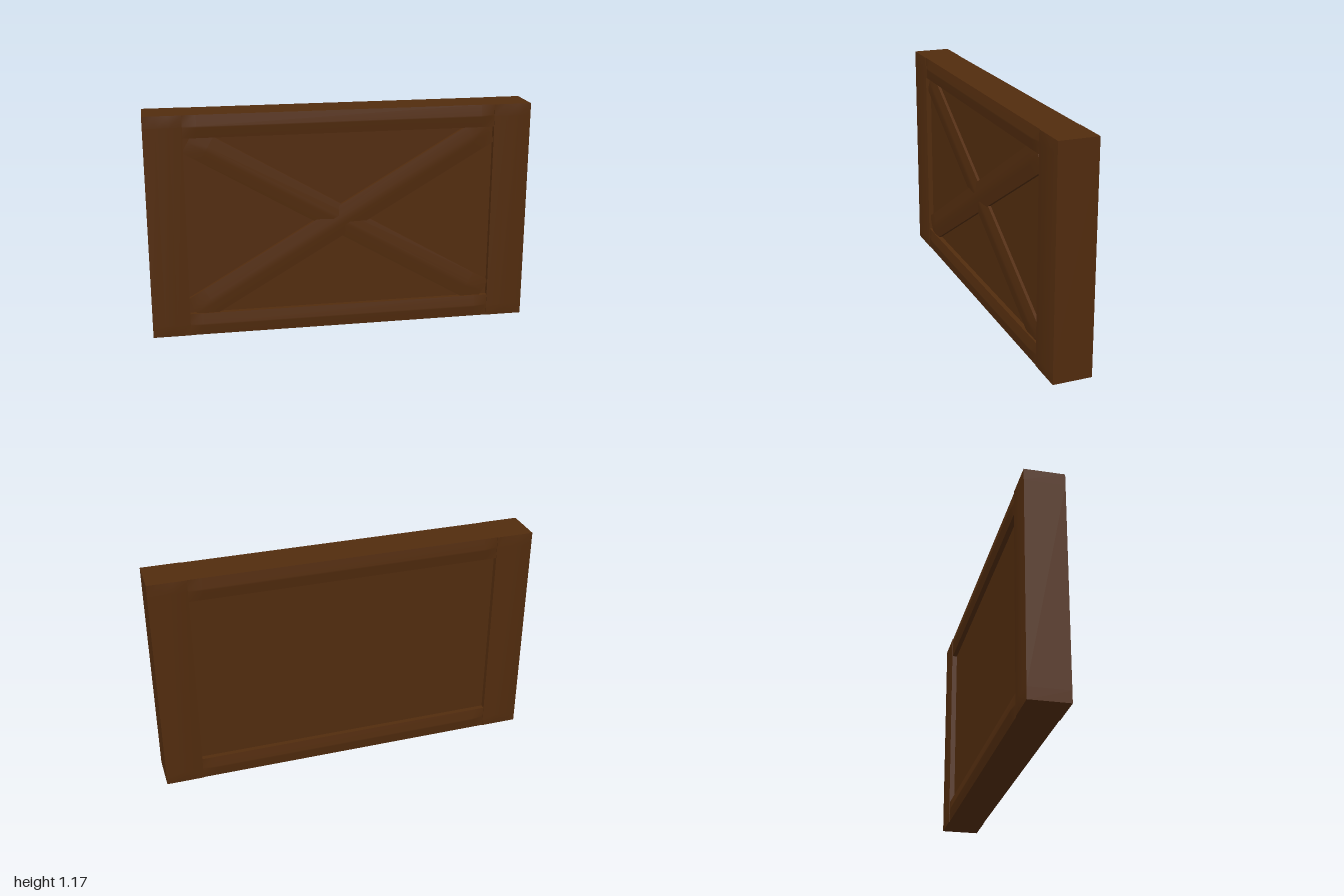
import * as THREE from 'three';

const HEIGHT = 1.175;

// Board whose front and back swell gently: the rim sits at depth/2, the middle is raised by bulge.
function boardGeometry(length, width, depth, bulge, insetX, insetY) {
  const geo = new THREE.BoxGeometry(length, width, depth, 3, 3, 1);
  const p = geo.attributes.position;
  const remap = (v, size, inset) =>
    Math.abs(v) > size * 0.4 ? v : Math.sign(v) * (size / 2 - inset);
  for (let i = 0; i < p.count; i++) {
    const x = p.getX(i), y = p.getY(i), z = p.getZ(i);
    const inner = Math.abs(x) < length * 0.4 && Math.abs(y) < width * 0.4;
    p.setXYZ(i, remap(x, length, insetX), remap(y, width, insetY), z + (inner ? Math.sign(z) * bulge : 0));
  }
  geo.computeVertexNormals();
  return geo;
}

export function createModel() {
  const model = new THREE.Group();
  model.name = 'woodenPanel';
  const wood = new THREE.MeshStandardMaterial({ color: 0x522c0e });
  wood.name = 'darkBrownWood';

  const add = (name, geo, x, y, z = 0, angle = 0) => {
    const mesh = new THREE.Mesh(geo, wood);
    mesh.name = name;
    mesh.position.set(x, y, z);
    mesh.rotation.z = angle;
    model.add(mesh);
  };

  // Recessed centre panel
  add('centrePanel', new THREE.BoxGeometry(1.66, 1.0, 0.146), 0, HEIGHT / 2);

  // Upright stiles at both ends
  for (const side of [-1, 1]) {
    add(side > 0 ? 'leftStile' : 'rightStile',
      boardGeometry(0.195, HEIGHT, 0.202, 0.008, 0.065, 0.06), side * 0.9025, HEIGHT / 2);
  }

  // Top and bottom rails between the stiles
  const rail = boardGeometry(1.61, 0.118, 0.196, 0.009, 0.07, 0.055);
  add('topRail', rail, 0, HEIGHT - 0.059);
  add('bottomRail', rail, 0, 0.059);

  // Crossed diagonal braces on the front; the rising one lies slightly proud
  const angle = Math.atan(0.588);
  add('risingBrace', boardGeometry(1.8, 0.151, 0.04, 0.008, 0.1, 0.06), 0, 0.588, 0.07, angle);
  add('fallingBrace', boardGeometry(1.8, 0.147, 0.036, 0.008, 0.1, 0.06), 0, 0.59, 0.07, -angle);

  return model;
}
